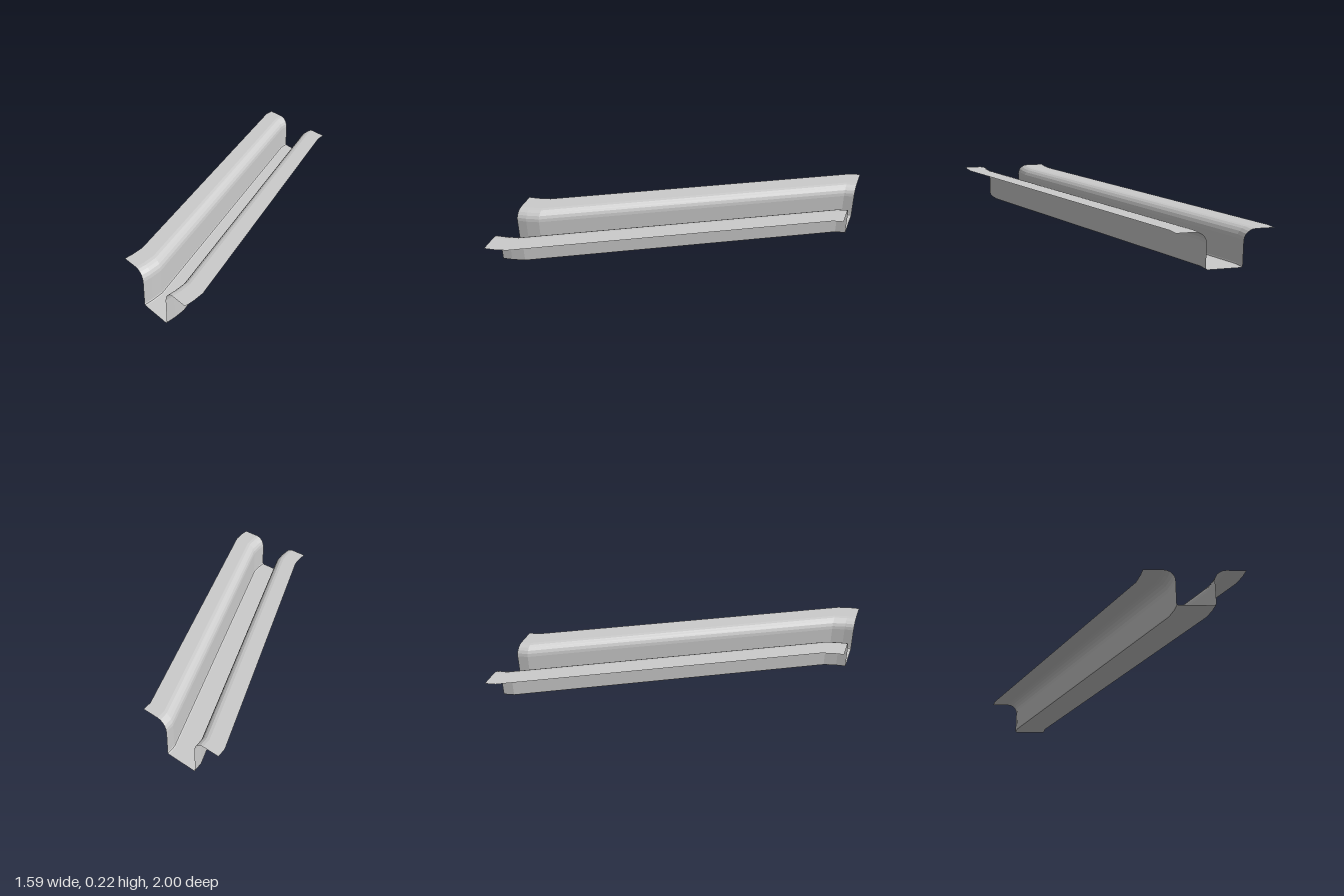
import * as THREE from 'three';

// Half cross-section as [x offset, y], from the floor edge to the flange lip
function halfProfile() {
  const wall = 0.108, top = 0.222, r = 0.067, steps = 5;
  const pts = [[wall - 0.01, 0], [wall - 0.003, 0.003], [wall, 0.01]];
  for (let i = 0; i <= steps; i++) {
    const a = (i / steps) * Math.PI / 2;
    pts.push([wall + r * (1 - Math.cos(a)), top - r + r * Math.sin(a)]);
  }
  pts.push([0.287, top]);
  return pts;
}

// Centre line as [x, z]: a slanted run that straightens at both ends
const path = [[-0.509, -1], [-0.494, -0.935], [0.478, 0.86], [0.5, 0.94], [0.509, 1]];

// Sweep a profile along the centre line, keeping every section parallel to x
function sweep(profile, name, material) {
  const pos = [], index = [], n = profile.length;
  for (const [cx, z] of path) for (const [x, y] of profile) pos.push(cx + x, y, z);
  for (let j = 0; j < path.length - 1; j++) {
    for (let i = 0; i < n - 1; i++) {
      const a = j * n + i, b = a + 1, c = a + n, d = c + 1;
      index.push(a, c, b, b, c, d);
    }
  }
  const geo = new THREE.BufferGeometry();
  geo.setAttribute('position', new THREE.Float32BufferAttribute(pos, 3));
  geo.setIndex(index);
  geo.computeVertexNormals();
  const mesh = new THREE.Mesh(geo, material);
  mesh.name = name;
  return mesh;
}

export function createModel() {
  const group = new THREE.Group();
  group.name = 'slantedChannel';
  const material = new THREE.MeshStandardMaterial({
    color: 0xcccccc, flatShading: true, side: THREE.DoubleSide,
  });

  // Side walls flaring out into flat flanges
  const left = halfProfile();
  const right = left.map(([x, y]) => [-x, y]).reverse();
  group.add(sweep(left, 'leftWallAndFlange', material));
  group.add(sweep(right, 'rightWallAndFlange', material));

  // Flat floor between the walls
  group.add(sweep([right[right.length - 1], left[0]], 'floor', material));
  return group;
}
